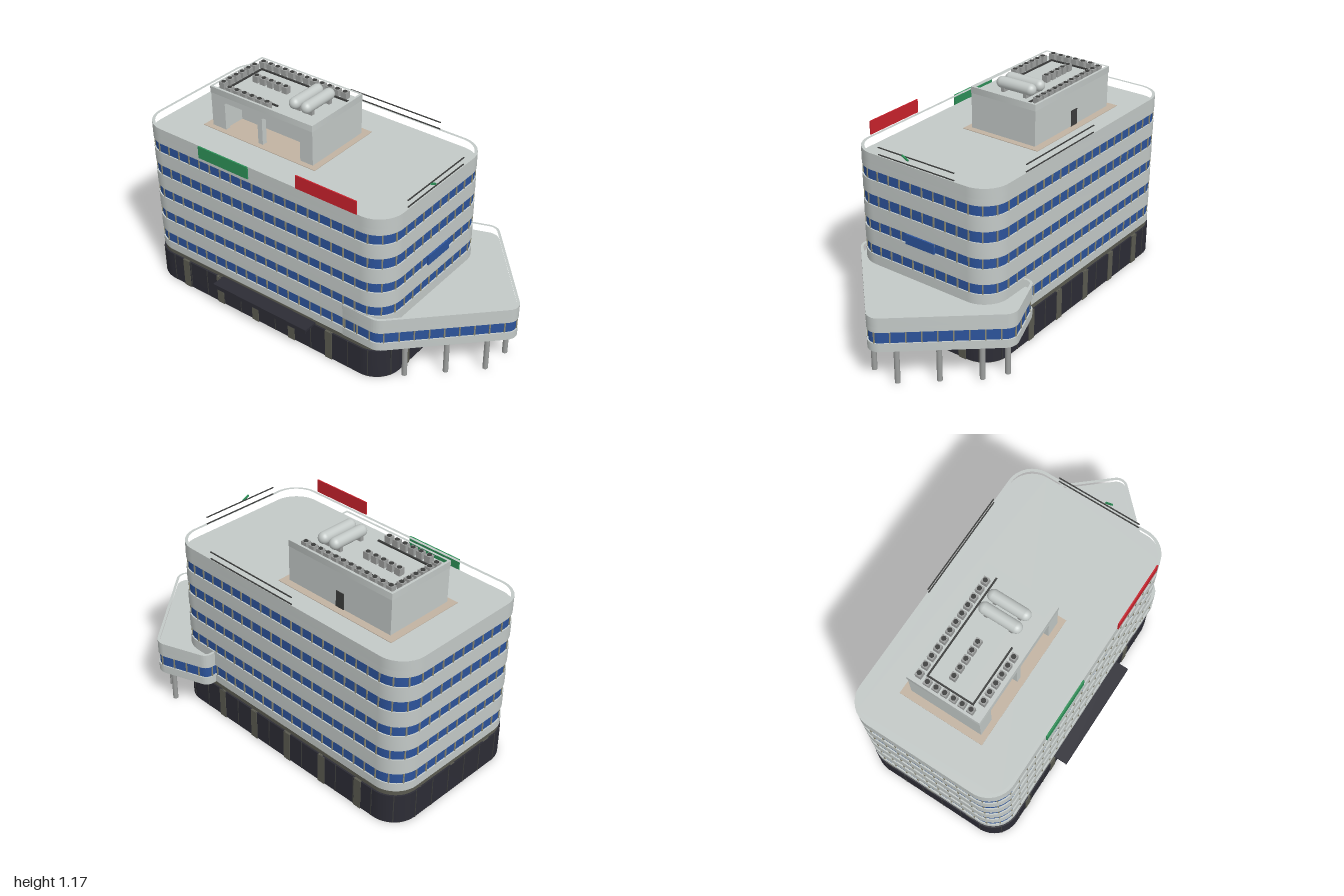
import * as THREE from 'three';
import { mergeGeometries, toCreasedNormals } from 'three/addons/utils/BufferGeometryUtils.js';

const mat = (name, color) => {
  const m = new THREE.MeshStandardMaterial({ color });
  m.name = name;
  return m;
};

// Moves every edge of a convex outline inward by d; corners are [x, z, radius]
function inset(corners, d) {
  const n = corners.length;
  let cx = 0, cz = 0;
  corners.forEach(c => { cx += c[0] / n; cz += c[1] / n; });
  const lines = corners.map((a, i) => {
    const b = corners[(i + 1) % n];
    let nx = b[1] - a[1], nz = a[0] - b[0];
    const l = Math.hypot(nx, nz) * Math.sign(nx * (a[0] - cx) + nz * (a[1] - cz));
    nx /= l; nz /= l;
    return [nx, nz, nx * a[0] + nz * a[1] - d];
  });
  return corners.map((c, i) => {
    const p = lines[(i + n - 1) % n], q = lines[i];
    const det = p[0] * q[1] - p[1] * q[0];
    return [(p[2] * q[1] - p[1] * q[2]) / det, (p[0] * q[2] - p[2] * q[0]) / det, Math.max(c[2] - d, 0.002)];
  });
}

// Outline points with circular corners, in shape space (y = -z)
function outline(corners) {
  const n = corners.length, pts = [];
  const v = c => new THREE.Vector2(c[0], -c[1]);
  corners.forEach((c, i) => {
    const p = v(c);
    const a = v(corners[(i + n - 1) % n]).sub(p).normalize();
    const b = v(corners[(i + 1) % n]).sub(p).normalize();
    const half = Math.acos(a.dot(b)) / 2, t = c[2] / Math.tan(half);
    const centre = a.clone().add(b).normalize().multiplyScalar(c[2] / Math.sin(half)).add(p);
    const from = p.clone().addScaledVector(a, t).sub(centre);
    const to = p.clone().addScaledVector(b, t).sub(centre);
    for (let k = 0; k <= 10; k++)
      pts.push(from.clone().lerp(to, k / 10).setLength(c[2]).add(centre));
  });
  return pts;
}

// Vertical slab of an outline, hollow when a wall thickness is given
function slab(corners, y0, y1, wall = 0) {
  const shape = new THREE.Shape(outline(corners));
  if (wall) shape.holes.push(new THREE.Path(outline(inset(corners, wall))));
  const g = new THREE.ExtrudeGeometry(shape, { depth: y1 - y0, bevelEnabled: false });
  g.rotateX(-Math.PI / 2).translate(0, y0, 0);
  return toCreasedNormals(g, 0.5);
}

// Thin uprights spaced along an outline
function uprights(corners, y0, y1, spacing, w = 0.007, d = 0.008) {
  const pts = outline(corners);
  const path = new THREE.Shape([...pts, pts[0]]);
  const count = Math.round(path.getLength() / spacing), parts = [];
  for (let i = 0; i < count; i++) {
    const p = path.getPointAt(i / count), t = path.getTangentAt(i / count);
    parts.push(new THREE.BoxGeometry(w, y1 - y0, d).rotateY(Math.atan2(t.y, t.x)).translate(p.x, (y0 + y1) / 2, -p.y));
  }
  return mergeGeometries(parts);
}

const box = (x0, x1, y0, y1, z0, z1) => new THREE.BoxGeometry(x1 - x0, y1 - y0, z1 - z0)
  .translate((x0 + x1) / 2, (y0 + y1) / 2, (z0 + z1) / 2);

export function createModel() {
  const concrete = mat('concrete', 0xc3c9c7), blue = mat('blue glass', 0x2c539b);
  const frame = mat('window frame', 0x8a8874), dark = mat('dark glass', 0x2c2c35);
  const stone = mat('ground floor stone', 0x5a5a50), green = mat('green sign', 0x2d8f57);
  const red = mat('red sign', 0xc8222c), tan = mat('tan paving', 0xc2b3a2);
  const metal = mat('grey metal', 0x9c9e9d), line = mat('dark metal', 0x3c3d3c);
  const model = new THREE.Group();
  const add = (name, geometry, material) => {
    const m = new THREE.Mesh(geometry, material);
    m.name = name;
    model.add(m);
    return m;
  };

  const tower = [[-1, -0.4, 0.14], [0.56, -0.4, 0.14], [0.56, 0.47, 0.14], [-1, 0.47, 0.14]];
  const wing = [[0.278, -0.455, 0.05], [0.567, -0.559, 0.07], [1.022, -0.032, 0.06], [0.518, 0.472, 0.08], [0.3, 0.472, 0.02]];

  // Ground floor: glazing, stone fascia, stone piers
  add('groundSlab', slab(tower, 0, 0.004), stone);
  add('groundGlass', slab(inset(tower, -0.003), 0.004, 0.17), dark);
  add('groundFascia', slab(inset(tower, 0.006), 0.17, 0.2), stone);
  add('groundMullions', uprights(inset(tower, -0.003), 0.004, 0.17, 0.12, 0.005, 0.004), line);
  const piers = [];
  for (let i = 0; i < 6; i++) {
    const x = -0.755 + i * 0.245;
    if (x < 0.45) piers.push(box(x - 0.022, x + 0.022, 0, 0.17, -0.406, 0.476));
  }
  for (const z of [0.27, 0.02, -0.23]) piers.push(box(-1.0, 0.566, 0, 0.17, z - 0.022, z + 0.022));
  add('groundPiers', mergeGeometries(piers), stone);

  // Tower: concrete bands alternating with recessed window bands
  const sills = [0.245, 0.39, 0.53, 0.67, 0.81];
  const heads = [0.305, 0.445, 0.585, 0.73, 0.865];
  sills.forEach((y, i) => {
    add('concreteBand', slab(tower, i ? heads[i - 1] : 0.2, y), concrete);
    add('windowBand', slab(inset(tower, 0.007), y, heads[i]), blue);
    add('windowMullions', uprights(inset(tower, 0.006), y, heads[i], 0.071), frame);
  });
  add('roofDeck', slab(tower, 0.865, 0.9), concrete);
  add('roofParapet', slab(tower, 0.9, 0.955, 0.016), concrete);

  // Low angular wing on round columns
  add('wingSill', slab(wing, 0.198, 0.243), concrete);
  add('wingWindows', slab(inset(wing, 0.007), 0.243, 0.305), blue);
  add('wingMullions', uprights(inset(wing, 0.006), 0.243, 0.305, 0.075), frame);
  add('wingRoof', slab(wing, 0.305, 0.335), concrete);
  add('wingParapet', slab(wing, 0.335, 0.385, 0.014), concrete);
  const columns = [[0.6, 0.34], [0.75, 0.195], [0.895, 0.053], [0.91, -0.11], [0.775, -0.26], [0.64, -0.415], [0.53, -0.485]];
  for (const [x, z] of columns)
    add('wingColumn', new THREE.CylinderGeometry(0.014, 0.014, 0.2, 16).translate(x, 0.1, z), metal);

  // Entrance canopy
  add('entranceCanopy', mergeGeometries([
    box(-0.49, 0.135, 0.168, 0.18, 0.46, 0.545), box(-0.49, 0.135, 0.156, 0.18, 0.539, 0.545)]), dark);

  // Sign panels
  add('greenSign', box(-0.59, -0.265, 0.888, 0.955, 0.47, 0.478), green);
  add('redSign', box(0.04, 0.4, 0.958, 1.03, 0.471, 0.478), red);
  add('blueSign', box(0.56, 0.569, 0.53, 0.585, -0.065, 0.115), blue);

  // Roof-edge rails with a small tilted marker
  for (const y of [0.957, 0.995]) {
    add('sideRail', box(0.548, 0.554, y - 0.002, y + 0.002, -0.185, 0.285), line);
    add('backRail', box(-0.3, 0.275, y - 0.002, y + 0.002, -0.398, -0.392), line);
  }
  const marker = add('greenMarker', new THREE.BoxGeometry(0.008, 0.008, 0.042), green);
  marker.position.set(0.565, 0.996, 0.1);
  marker.rotation.x = -0.45 * -1;
  marker.rotation.x *= -1;

  // Rooftop plant house on a paved pad
  add('roofPad', box(-0.78, -0.04, 0.899, 0.903, -0.235, 0.235), tan);
  const front = new THREE.Shape();
  front.moveTo(-0.74, 0.9).lineTo(-0.65, 0.9);
  for (const [a, b] of [[-0.65, -0.43], [-0.4, -0.155]]) {
    front.lineTo(a, 0.9).lineTo(a, 1.05).quadraticCurveTo(a, 1.06, a + 0.01, 1.06);
    front.lineTo(b - 0.01, 1.06).quadraticCurveTo(b, 1.06, b, 1.05).lineTo(b, 0.9);
  }
  front.lineTo(-0.075, 0.9).lineTo(-0.075, 1.1).lineTo(-0.74, 1.1).closePath();
  add('plantHouseFront', new THREE.ExtrudeGeometry(front, { depth: 0.03, bevelEnabled: false }).translate(0, 0, 0.175), concrete);
  add('plantHouseBody', mergeGeometries([
    box(-0.74, -0.075, 0.9, 1.1, -0.195, 0.07), box(-0.74, -0.66, 0.9, 1.1, 0.07, 0.175),
    box(-0.145, -0.075, 0.9, 1.1, 0.07, 0.175), box(-0.66, -0.145, 1.07, 1.1, 0.07, 0.175)]), concrete);
  const rim = [[-0.743, -0.198, 0.003], [-0.072, -0.198, 0.003], [-0.072, 0.208, 0.003], [-0.743, 0.208, 0.003]];
  add('plantHouseParapet', slab(rim, 1.095, 1.13, 0.013), concrete);
  add('plantHouseDoor', box(-0.445, -0.395, 0.903, 0.99, -0.199, -0.194), line);

  // Rows of roof vents: start x, start z, step x, step z, count
  const vents = [], caps = [];
  const rows = [[-0.695, -0.155, 0.0495, 0, 12], [-0.71, -0.1, 0, 0.048, 6], [-0.62, -0.015, 0.049, 0, 5], [-0.645, 0.165, 0.05, 0, 6]];
  for (const [x, z, dx, dz, n] of rows) for (let i = 0; i < n; i++) {
    const px = x + dx * i, pz = z + dz * i;
    vents.push(box(px - 0.017, px + 0.017, 1.1, 1.137, pz - 0.016, pz + 0.016));
    caps.push(new THREE.CylinderGeometry(0.012, 0.012, 0.004, 12).translate(px, 1.138, pz));
  }
  add('roofVents', mergeGeometries(vents), metal);
  add('ventFans', mergeGeometries(caps), line);
  add('roofPipes', mergeGeometries([
    box(-0.68, -0.105, 1.105, 1.113, -0.126, -0.118), box(-0.684, -0.676, 1.105, 1.113, -0.126, 0.134),
    box(-0.68, -0.355, 1.105, 1.113, 0.126, 0.134)]), line);

  // Two horizontal tanks on cradles
  for (const x of [-0.27, -0.195]) {
    add('roofTank', new THREE.CapsuleGeometry(0.031, 0.175, 8, 20).rotateX(Math.PI / 2).translate(x, 1.142, 0.01), concrete);
    for (const z of [-0.06, 0.08]) add('tankCradle', box(x - 0.025, x + 0.025, 1.1, 1.125, z - 0.01, z + 0.01), metal);
  }
  return model;
}
